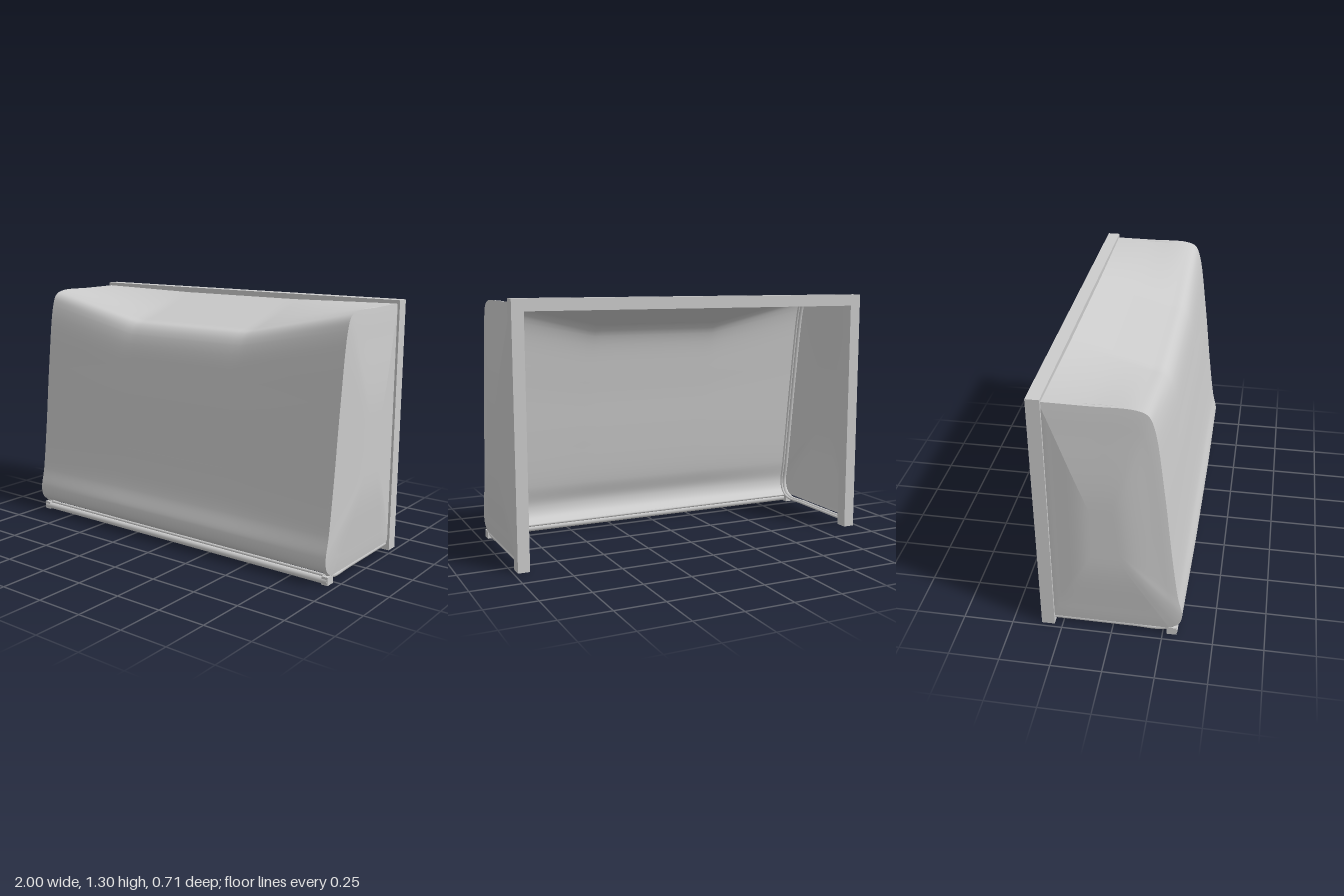
import * as THREE from 'three';

const grey = new THREE.MeshStandardMaterial({ color: 0xcccccc });
const cloth = new THREE.MeshStandardMaterial({ color: 0xcccccc, side: THREE.DoubleSide });
const EDGE = 0.965;

// Net profiles as [z, y], from the crossbar over the top and down to the ground bar
const curve = pts => new THREE.CatmullRomCurve3(pts.map(([z, y]) => new THREE.Vector3(0, y, z)));
const sideProfile = curve([[-0.3, 1.288], [-0.08, 1.286], [0.12, 1.284], [0.175, 1.262], [0.203, 1.2],
  [0.25, 0.87], [0.29, 0.5], [0.322, 0.25], [0.345, 0.13], [0.328, 0.075], [0.28, 0.045]]);
const midProfile = curve([[-0.3, 1.28], [-0.1, 1.215], [0.1, 1.155], [0.165, 1.135], [0.205, 1.08],
  [0.25, 0.82], [0.287, 0.5], [0.322, 0.25], [0.352, 0.14], [0.338, 0.085], [0.295, 0.05]]);

function add(parent, name, geometry, material = grey) {
  const mesh = new THREE.Mesh(geometry, material);
  mesh.name = name;
  parent.add(mesh);
  return mesh;
}

// Surface from a rule (i, j) -> [x, y, z] on a grid of cells
function gridSurface(nu, nv, rule) {
  const pos = [], index = [];
  for (let i = 0; i <= nu; i++) for (let j = 0; j <= nv; j++) {
    pos.push(...rule(i, j));
    if (i < nu && j < nv) {
      const a = i * (nv + 1) + j, b = a + nv + 1;
      index.push(a, a + 1, b, b, a + 1, b + 1);
    }
  }
  const g = new THREE.BufferGeometry();
  g.setAttribute('position', new THREE.Float32BufferAttribute(pos, 3));
  g.setIndex(index);
  g.computeVertexNormals();
  return g;
}

// Top and rear sheet, sagging between the two sides
function mainNet() {
  const nu = 48, nv = 80;
  return gridSurface(nu, nv, (i, j) => {
    const x = -EDGE + 2 * EDGE * i / nu;
    const t = j / nv;
    const w = Math.min(1, (EDGE - Math.abs(x)) / 0.6);
    const p = sideProfile.getPoint(t).lerp(midProfile.getPoint(t), w);
    return [x, p.y, p.z];
  });
}

// Side sheet: rings of the outline shrinking to a bulging middle
function sideNet(s) {
  const outline = sideProfile.getPoints(80).map(p => [p.z, p.y]);
  for (let k = 1; k <= 8; k++) outline.push([0.28 - 0.58 * k / 8, 0.045]);
  for (let k = 1; k <= 16; k++) outline.push([-0.3, 0.045 + 1.243 * k / 16]);
  const rings = 14, cz = -0.03, cy = 0.6;
  return gridSurface(rings, outline.length - 1, (i, j) => {
    const f = 1 - i / rings, [z, y] = outline[j];
    const bulge = 0.035 * THREE.MathUtils.smoothstep(1 - f, -0.15, 0.75);
    const x = EDGE + (i === 0 ? 0 : bulge);
    return [s * x, cy + (y - cy) * f, cz + (z - cz) * f];
  });
}

// Bent side tube, inset from the net
function sideTube(x, inset, radius) {
  const pts = [[-0.3, 1.285 - inset], [0.1, 1.283 - inset], [0.155, 1.265 - inset], [0.19 - inset, 1.2],
    [0.252 - inset, 0.8], [0.322 - inset, 0.25], [0.34 - inset, 0.12], [0.315 - inset, 0.06],
    [0.25, 0.02 + inset], [0.1, 0.02 + inset], [-0.3, 0.02 + inset]];
  const path = new THREE.CatmullRomCurve3(pts.map(([z, y]) => new THREE.Vector3(x, y, z)));
  return new THREE.TubeGeometry(path, 100, radius, 8);
}

export function createModel() {
  const goal = new THREE.Group();
  goal.name = 'goal';

  // Goal mouth: two posts and crossbar as one bent-over frame
  const W = 0.98, I = 0.92, H = 1.305, B = 1.245;
  const mouth = new THREE.Shape([[-W, 0], [-I, 0], [-I, B], [I, B], [I, 0], [W, 0], [W, H], [-W, H]]
    .map(([x, y]) => new THREE.Vector2(x, y)));
  const frame = add(goal, 'postsAndCrossbar',
    new THREE.ExtrudeGeometry(mouth, { depth: 0.065, bevelEnabled: false }));
  frame.position.z = -0.355;

  // Netting
  add(goal, 'mainNet', mainNet(), cloth);
  for (const s of [-1, 1]) {
    const name = s > 0 ? 'left' : 'right';
    add(goal, name + 'SideNet', sideNet(s), cloth);

    // Supporting tubes with a thin net rail beside them
    add(goal, name + 'SideTube', sideTube(s * 0.95, 0.014, 0.013));
    add(goal, name + 'NetRail', sideTube(s * 0.932, 0.014, 0.007));

    // Connector at the rear ground corner
    const block = add(goal, name + 'CornerBlock', new THREE.BoxGeometry(0.035, 0.042, 0.05));
    block.position.set(s * 0.948, 0.024, 0.295);
  }

  // Ground bar and its net rail
  const bar = add(goal, 'groundBar', new THREE.CylinderGeometry(0.017, 0.017, 1.92, 16));
  bar.rotation.z = Math.PI / 2;
  bar.position.set(0, 0.022, 0.307);
  const rail = add(goal, 'groundNetRail', new THREE.CylinderGeometry(0.008, 0.008, 1.9, 10));
  rail.rotation.z = Math.PI / 2;
  rail.position.set(0, 0.042, 0.295);

  return goal;
}
